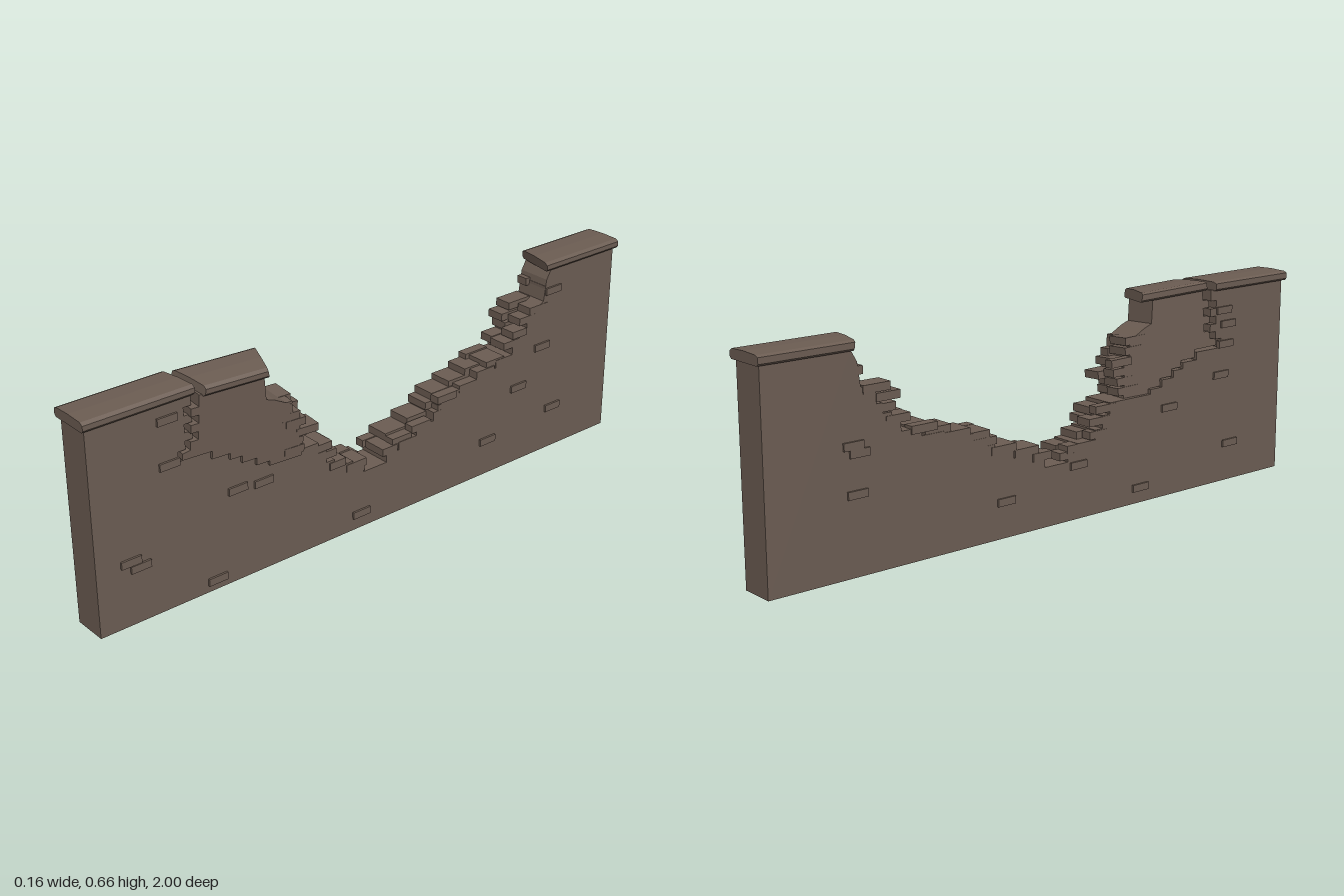
import * as THREE from 'three';

const stone = new THREE.MeshStandardMaterial({ color: 0x6b5c52, flatShading: true });
stone.name = 'weathered stone';

const X0 = -0.07, X1 = 0.04, TOP = 0.635; // wall faces and height

let seed = 11;
function rnd(a, b) {
  seed = (seed * 16807) % 2147483647;
  return a + (b - a) * (seed / 2147483647);
}

function add(parent, geometry, name) {
  const mesh = new THREE.Mesh(geometry, stone);
  mesh.name = name;
  parent.add(mesh);
  return mesh;
}

// Solid slab from a (z, y) outline, running through the wall from x0 to x1
function slab(points, x0, x1) {
  const shape = new THREE.Shape(points.map(([z, y]) => new THREE.Vector2(z, y)));
  const g = new THREE.ExtrudeGeometry(shape, { depth: x1 - x0, bevelEnabled: false });
  return g.rotateY(-Math.PI / 2).translate(x1, 0, 0);
}

function brick(parent, x, y, z, w, h, l, name) {
  add(parent, new THREE.BoxGeometry(w, h, l), name).position.set(x, y, z);
}

// Bricks poking out of a broken edge: two per spot, at different depths in the wall
function rubble(parent, spots) {
  for (const [z, y, l = 0.09] of spots) {
    const cut = rnd(-0.04, 0.01);
    brick(parent, (X0 + cut) / 2 + rnd(-0.004, 0.002), y, z + rnd(-0.012, 0.012),
      cut - X0, 0.024, l, 'edgeBrick');
    brick(parent, (X1 + cut) / 2 + rnd(-0.002, 0.004), y - rnd(0, 0.01), z + rnd(-0.025, 0.025),
      X1 - cut, 0.024, l * 0.85, 'edgeBrick');
  }
}

// Coping stone with chamfered edges and slanted, uneven ends
function coping(parent, z0, z1, skew0, skew1, name) {
  const profile = new THREE.Shape([
    [-0.077, 0.632], [0.047, 0.632], [0.053, 0.639], [0.053, 0.654], [0.042, 0.661],
    [-0.015, 0.663], [-0.072, 0.661], [-0.083, 0.656], [-0.083, 0.638],
  ].map(([x, y]) => new THREE.Vector2(x, y)));
  const g = new THREE.ExtrudeGeometry(profile, { depth: z1 - z0, bevelEnabled: false });
  g.translate(0, 0, z0);
  const p = g.attributes.position;
  for (let i = 0; i < p.count; i++) {
    const x = p.getX(i) + 0.015, y = p.getY(i), z = p.getZ(i);
    const skew = z < (z0 + z1) / 2 ? skew0 : skew1;
    p.setZ(i, z + skew * (x + 0.7 * (y - 0.647)));
  }
  g.computeVertexNormals();
  return add(parent, g, name);
}

// Toothed vertical crack, from the top downwards
function crack(zIn, zOut) {
  const pts = [];
  for (let i = 0; i < 6; i++) {
    const z = i % 2 ? zOut : zIn, y = 0.6 - i * 0.025;
    pts.push([z, y + 0.025], [z, y]);
  }
  return pts;
}

export function createModel() {
  const model = new THREE.Group();
  model.name = 'ruinedWall';

  // Main wall with the stepped breach
  const outline = [
    [-0.99, 0], [0.99, 0], [0.99, TOP], [0.66, TOP],
    ...crack(0.66, 0.685), [0.71, 0.475], [0.71, 0.445], [0.6, 0.445], [0.6, 0.42],
    [0.54, 0.42], [0.54, 0.4], [0.5, 0.4], [0.5, 0.378], [0.45, 0.378], [0.45, 0.355],
    [0.4, 0.355], [0.4, 0.34], [0.23, 0.34], [0.23, 0.305], [0.2, 0.305], [0.2, 0.265],
    [0.17, 0.265], [0.17, 0.235], [0.1, 0.235], [0.1, 0.21], [0.06, 0.21], [0.06, 0.185],
    [-0.03, 0.185], [-0.03, 0.21], [-0.08, 0.21], [-0.08, 0.235], [-0.15, 0.235],
    [-0.15, 0.262], [-0.22, 0.262], [-0.22, 0.29], [-0.25, 0.29], [-0.25, 0.315],
    [-0.3, 0.315], [-0.3, 0.335], [-0.4, 0.335], [-0.4, 0.36], [-0.48, 0.36],
    [-0.48, 0.385], [-0.55, 0.385], [-0.55, 0.415], [-0.58, 0.415], [-0.58, 0.445],
    [-0.61, 0.445], [-0.61, 0.475], [-0.63, 0.475], [-0.63, 0.505], [-0.68, 0.53],
    [-0.69, 0.6], [-0.71, TOP], [-0.99, TOP],
  ];
  add(model, slab(outline, X0, X1), 'wall');

  // Loose bricks along the breach
  const breach = new THREE.Group();
  breach.name = 'breachRubble';
  model.add(breach);
  rubble(breach, [
    [0.22, 0.325], [0.19, 0.29], [0.18, 0.25, 0.07], [0.1, 0.222], [0.07, 0.205, 0.06],
    [-0.05, 0.222, 0.07], [-0.11, 0.247], [-0.18, 0.27], [-0.24, 0.302, 0.06],
    [-0.28, 0.325], [-0.36, 0.343], [-0.42, 0.365], [-0.48, 0.382], [-0.55, 0.423, 0.08],
    [-0.59, 0.46, 0.07], [-0.6, 0.492, 0.08], [-0.64, 0.52], [-0.7, 0.575, 0.05],
  ]);

  // Split-off section leaning outwards
  const leaning = new THREE.Group();
  leaning.name = 'leaningSection';
  const pivot = new THREE.Vector3(-0.015, 0.34, 0.66);
  const inner = new THREE.Group();
  inner.name = 'leaningParts';
  inner.position.copy(pivot).negate();
  leaning.position.copy(pivot);
  leaning.rotation.set(-0.03, -0.04, -0.06);
  leaning.add(inner);
  model.add(leaning);
  add(inner, slab([
    [0.3, 0.345], [0.41, 0.345], [0.41, 0.36], [0.455, 0.36], [0.455, 0.383], [0.505, 0.383],
    [0.505, 0.405], [0.545, 0.405], [0.545, 0.425], [0.605, 0.425], [0.605, 0.45],
    [0.7, 0.45], [0.7, 0.47], ...crack(0.65, 0.675).reverse(), [0.65, TOP], [0.44, TOP],
    [0.43, 0.56], [0.4, 0.55], [0.34, 0.52], [0.335, 0.46], [0.31, 0.45], [0.31, 0.4],
  ], X0, X1), 'leaningWall');
  rubble(inner, [
    [0.36, 0.52, 0.08], [0.345, 0.49, 0.07], [0.31, 0.46, 0.08], [0.3, 0.43],
    [0.32, 0.4, 0.07], [0.32, 0.37, 0.08],
  ]);
  coping(inner, 0.41, 0.648, 0.35, -0.15, 'leaningCoping');

  // Coping on the standing ends
  coping(model, 0.662, 1, -0.12, 0, 'frontCoping');
  coping(model, -1, -0.69, 0, 0.2, 'backCoping');

  // Single bricks standing proud of both faces, as [z, y]
  const proud = {
    left: [[0.74, 0.584], [0.74, 0.449], [0.43, 0.286], [0.52, 0.295], [0.07, 0.05],
      [0.88, 0.2], [0.85, 0.175], [0.6, 0.033], [-0.45, 0.119], [-0.68, 0.377],
      [-0.74, 0.146], [-0.72, 0.56], [-0.58, 0.265]],
    right: [[-0.71, 0.373], [-0.7, 0.236], [-0.18, 0.112], [0.36, 0.05], [0.48, 0.287],
      [0.71, 0.357], [0.73, 0.456], [0.76, 0.125], [0.72, 0.566], [-0.69, 0.35],
      [0.74, 0.52], [0.1, 0.17]],
  };
  for (const [side, list] of Object.entries(proud)) {
    const x = side === 'left' ? X1 : X0;
    for (const [z, y] of list) brick(model, x, y, z, 0.013, 0.023, 0.065, side + 'FaceBrick');
  }
  return model;
}
